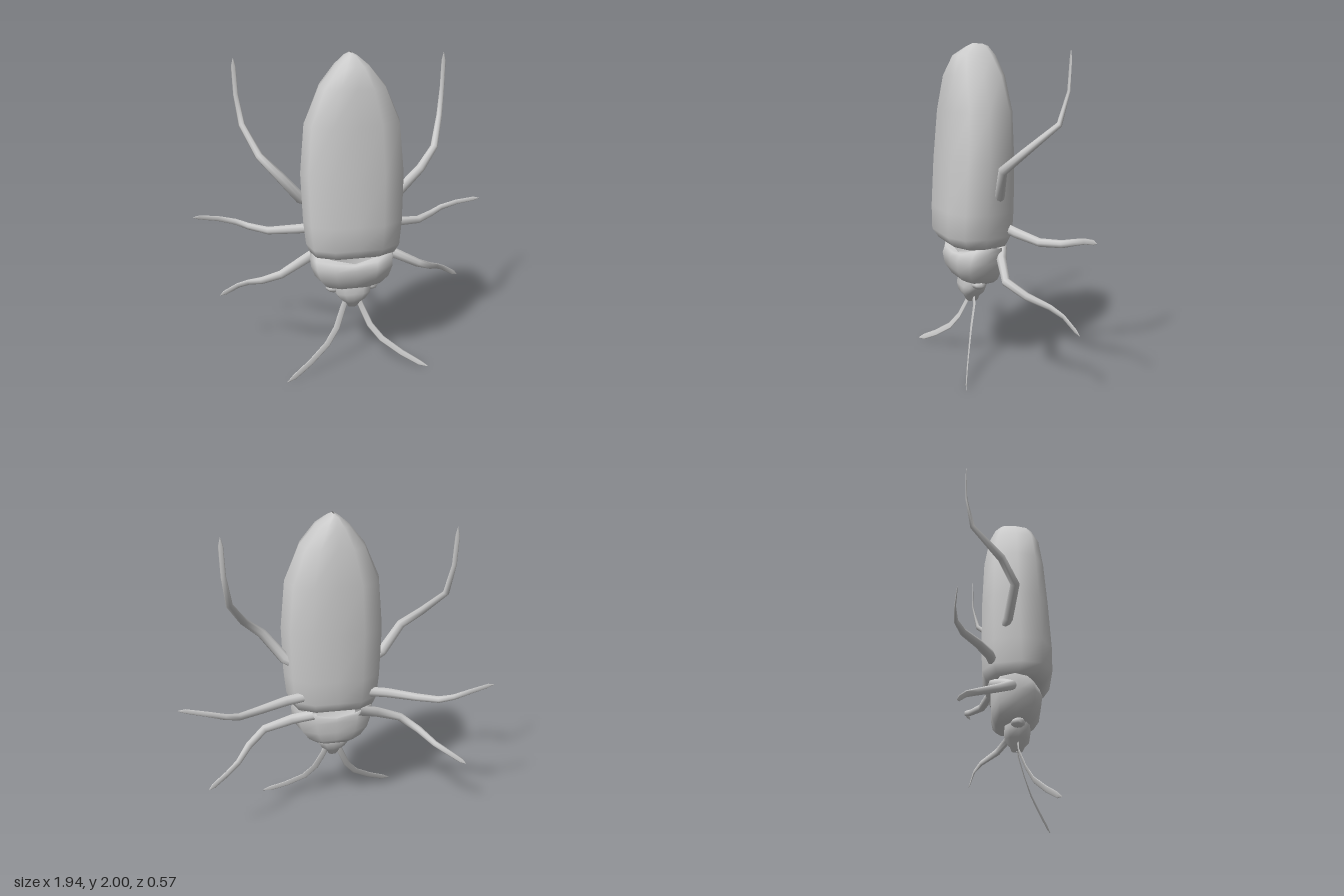
import * as THREE from 'three';

const grey = new THREE.MeshStandardMaterial({ color: 0xcccccc, side: THREE.DoubleSide });

// Skins a list of equal-sized closed rings of points with smooth normals
function loft(name, rings) {
  const n = rings[0].length;
  const index = [];
  for (let i = 0; i < rings.length - 1; i++) {
    for (let j = 0; j < n; j++) {
      const a = i * n + j, b = i * n + (j + 1) % n;
      index.push(a, b, b + n, a, b + n, a + n);
    }
  }
  const geometry = new THREE.BufferGeometry().setFromPoints(rings.flat());
  geometry.setIndex(index);
  geometry.computeVertexNormals();
  const mesh = new THREE.Mesh(geometry, grey);
  mesh.name = name;
  return mesh;
}

// Body outline seen along y: flat front and back, rounded flanks
const half = [[0, 1], [0.5, 1], [0.9, 0.7], [1, 0.1], [0.88, -0.65], [0.5, -1], [0, -1]];
const outline = [...half, ...half.slice(1, -1).reverse().map(([x, z]) => [-x, z])];

// Rows are [y, half width, back z, front z, dip of the middle]
function shell(name, rows) {
  return loft(name, rows.map(([y, w, z0, z1, dip = 0]) => outline.map(([u, v]) =>
    new THREE.Vector3(u * w, y - dip * (1 - Math.abs(u)), (z0 + z1) / 2 + v * (z1 - z0) / 2))));
}

// Tapered limb; points are [x, y, z, width, depth], flattened towards z
function limb(name, points, side) {
  const p = points.map(([x, y, z]) => new THREE.Vector3(x * side, y, z));
  const zAxis = new THREE.Vector3(0, 0, 1);
  const sides = 8;
  const rings = p.map((c, i) => {
    const t = p[Math.min(i + 1, p.length - 1)].clone().sub(p[Math.max(i - 1, 0)]).normalize();
    const across = t.clone().cross(zAxis).normalize();
    const up = t.clone().cross(across);
    return Array.from({ length: sides }, (_, k) => {
      const a = k / sides * Math.PI * 2;
      return c.clone().addScaledVector(across, Math.cos(a) * points[i][3])
        .addScaledVector(up, Math.sin(a) * points[i][4]);
    });
  });
  return loft(name, rings);
}

const limbs = {
  hindLeg: [
    [0.22, 1.08, -0.02, 0.035, 0.03], [0.31, 1.12, 0.01, 0.035, 0.03],
    [0.44, 1.28, 0.05, 0.03, 0.028], [0.55, 1.39, -0.03, 0.024, 0.024],
    [0.635, 1.55, -0.2, 0.02, 0.015], [0.66, 1.73, -0.24, 0.015, 0.006],
    [0.665, 1.9, -0.245, 0.014, 0.003], [0.665, 1.95, -0.245, 0.001, 0.001]],
  middleLeg: [
    [0.2, 0.89, -0.08, 0.033, 0.03], [0.32, 0.88, -0.1, 0.032, 0.03],
    [0.5, 0.86, -0.16, 0.026, 0.026], [0.62, 0.87, -0.24, 0.023, 0.02],
    [0.7, 0.895, -0.275, 0.02, 0.012], [0.81, 0.925, -0.275, 0.017, 0.005],
    [0.93, 0.947, -0.26, 0.014, 0.003], [0.97, 0.95, -0.255, 0.001, 0.001]],
  frontLeg: [
    [0.14, 0.76, -0.08, 0.035, 0.03], [0.27, 0.71, -0.02, 0.035, 0.03],
    [0.45, 0.63, 0.03, 0.028, 0.026], [0.56, 0.565, -0.05, 0.024, 0.022],
    [0.64, 0.51, -0.16, 0.02, 0.014], [0.71, 0.47, -0.21, 0.018, 0.006],
    [0.8, 0.41, -0.24, 0.016, 0.003], [0.83, 0.39, -0.25, 0.001, 0.001]],
  antenna: [
    [0.03, 0.46, 0.07, 0.018, 0.008], [0.06, 0.38, 0.075, 0.02, 0.004],
    [0.11, 0.26, 0.115, 0.021, 0.003], [0.18, 0.17, 0.155, 0.021, 0.003],
    [0.3, 0.085, 0.215, 0.02, 0.003], [0.41, 0.025, 0.265, 0.018, 0.003],
    [0.46, 0.004, 0.285, 0.002, 0.001]],
};

export function createModel() {
  const model = new THREE.Group();
  model.name = 'beetle';

  // Long wing-covered abdomen, closed underneath and tapering to the tip
  model.add(shell('abdomen', [
    [0.76, 0.005, 0.04, 0.05], [0.775, 0.23, -0.09, 0.21], [0.79, 0.27, -0.12, 0.24],
    [0.85, 0.295, -0.145, 0.28], [1.0, 0.31, -0.15, 0.28], [1.3, 0.32, -0.15, 0.262],
    [1.6, 0.292, -0.14, 0.24], [1.81, 0.2, -0.11, 0.215], [1.93, 0.1, -0.07, 0.17],
    [1.985, 0.035, -0.035, 0.09], [2.0, 0.005, 0, 0.06]]));

  // Thorax shell with a dipped open rim
  model.add(shell('thorax', [
    [0.53, 0.01, 0.03, 0.05], [0.53, 0.14, -0.06, 0.12], [0.56, 0.19, -0.08, 0.17],
    [0.62, 0.24, -0.09, 0.207], [0.69, 0.265, -0.092, 0.217],
    [0.75, 0.27, -0.09, 0.2, 0.03], [0.785, 0.265, -0.08, 0.16, 0.07]]));

  // Head narrowing down to the mouth
  model.add(shell('head', [
    [0.39, 0.005, 0.06, 0.07], [0.393, 0.03, 0.035, 0.1], [0.425, 0.05, 0.025, 0.115],
    [0.455, 0.085, 0, 0.14], [0.5, 0.118, -0.01, 0.148], [0.55, 0.125, -0.005, 0.14]]));

  for (const side of [1, -1]) {
    const prefix = side > 0 ? 'left' : 'right';
    for (const [name, points] of Object.entries(limbs)) {
      model.add(limb(prefix + name[0].toUpperCase() + name.slice(1), points, side));
    }
    // Flattened eye beside the head
    const eye = new THREE.Mesh(new THREE.SphereGeometry(1, 8, 6), grey);
    eye.name = prefix + 'Eye';
    eye.scale.set(0.05, 0.032, 0.045);
    eye.position.set(0.122 * side, 0.53, 0.07);
    model.add(eye);
  }
  return model;
}
